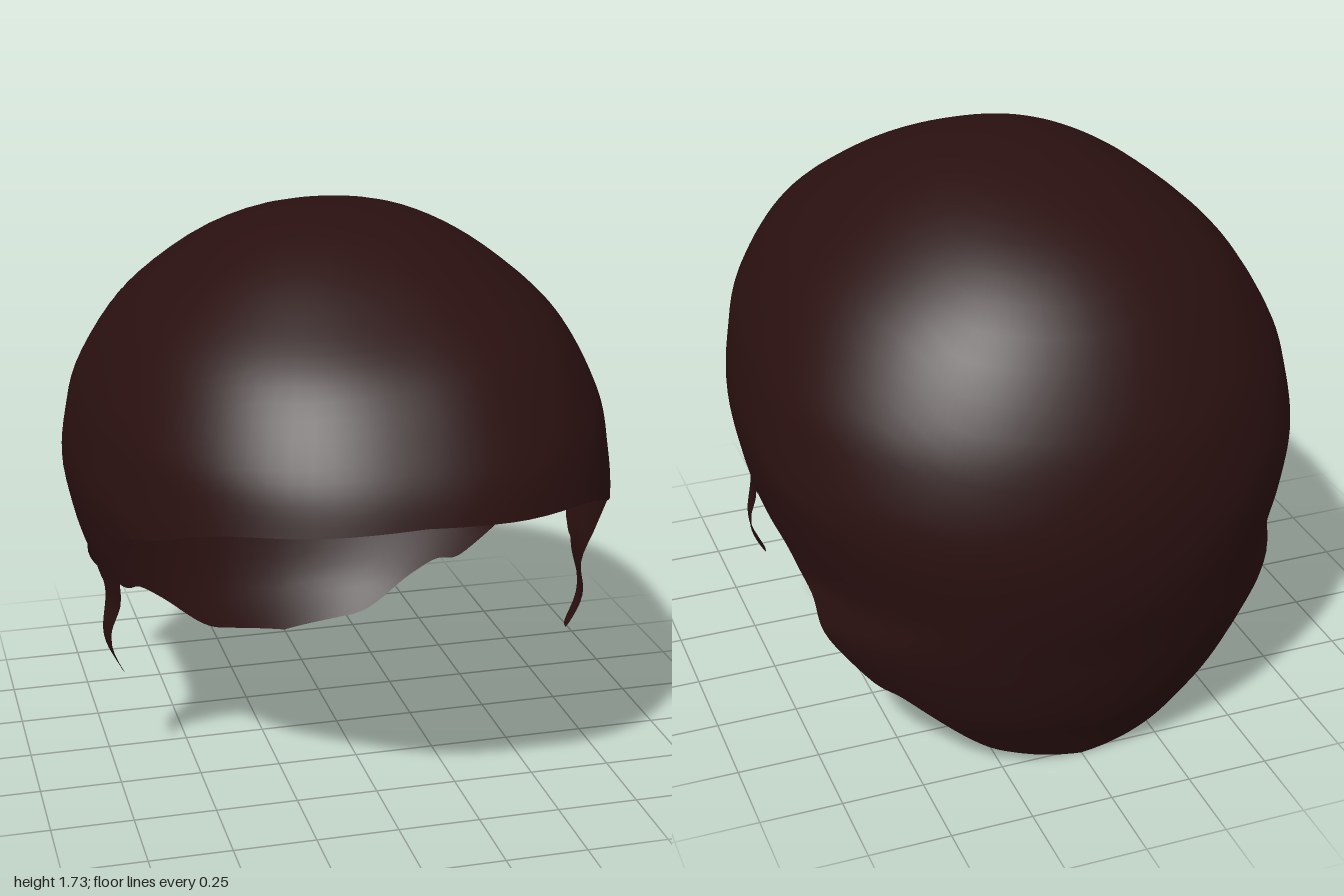
import * as THREE from 'three';

// Level curves of the cap, crown to nape: [y, half width, front z, back z, z of widest point]
const LEVELS = [
  [1.73, 0, 0, 0, 0], [1.71, 0.18, 0.19, -0.2, 0], [1.65, 0.34, 0.37, -0.43, -0.02],
  [1.55, 0.5, 0.57, -0.64, -0.04], [1.4, 0.665, 0.79, -0.805, -0.08], [1.2, 0.78, 0.94, -0.92, -0.14],
  [1.05, 0.815, 1, -0.97, -0.18], [0.9, 0.83, 1.02, -0.995, -0.2], [0.75, 0.805, 1, -0.997, -0.2],
  [0.6, 0.77, 1, -0.975, -0.2], [0.46, 0.79, 1, -0.935, -0.2], [0.34, 0.74, 1, -0.905, -0.2],
  [0.2, 0.66, 1, -0.86, -0.2], [0.1, 0.59, 1, -0.81, -0.2], [0, 0.5, 1, -0.765, -0.2],
];

// Hairline seen from the side: [z, y], from forehead over the sideburn and ear to the nape
const HAIRLINE = [
  [1, 1.05], [0.97, 1.035], [0.8, 1.005], [0.6, 0.93], [0.45, 0.88], [0.37, 0.8], [0.25, 0.59],
  [0.21, 0.48], [0.19, 0.36], [0.17, 0.34], [0.14, 0.36], [0.13, 0.48], [0.09, 0.6], [0.05, 0.62],
  [0, 0.65], [-0.05, 0.67], [-0.28, 0.67], [-0.38, 0.6], [-0.47, 0.54], [-0.53, 0.43], [-0.6, 0.3],
  [-0.66, 0.27], [-0.7, 0.2], [-0.72, 0.08], [-0.75, 0.04], [-0.765, 0.005],
];

// Smooth curve through rows of numbers; `before` is the row ahead of the first
function spline(rows, s, before = rows[0]) {
  const last = rows.length - 1;
  const i = Math.min(Math.floor(s), last - 1), t = s - i;
  const p0 = i > 0 ? rows[i - 1] : before, p1 = rows[i], p2 = rows[i + 1];
  const p3 = rows[Math.min(i + 2, last)];
  return p1.map((b, k) => {
    const m1 = (p2[k] - p0[k]) / 2, m2 = (p3[k] - b) / 2, d = p2[k] - b;
    return b + t * (m1 + t * (3 * d - 2 * m1 - m2 + t * (m1 + m2 - 2 * d)));
  });
}

const [y1, ...rest1] = LEVELS[1];
const level = (s) => spline(LEVELS, s, [y1, ...rest1.map((v) => -v)]);

// Level parameter for a given height
function levelAt(y) {
  let lo = 0, hi = LEVELS.length - 1;
  for (let k = 0; k < 30; k++) {
    const mid = (lo + hi) / 2;
    if (level(mid)[0] > y) lo = mid; else hi = mid;
  }
  return lo;
}

const roundness = (front) => (front ? 2.3 : 2.1);

// Point on the cap for a level and an angle (+90 degrees is the front, -90 the back)
function capPoint(s, angle, side) {
  const [y, w, zf, zb, zc] = level(s);
  const front = angle >= 0, e = 2 / roundness(front);
  const x = w * Math.pow(Math.max(Math.cos(angle), 0), e);
  const reach = Math.pow(Math.abs(Math.sin(angle)), e);
  return [side * x, y, zc + reach * ((front ? zf : zb) - zc)];
}

// Hairline as [angle, y]
function hairlineAngles() {
  const last = HAIRLINE.length - 1;
  return HAIRLINE.map(([z, y], i) => {
    if (i === 0) return [Math.PI / 2, y];
    if (i === last) return [-Math.PI / 2, y];
    const [, , zf, zb, zc] = level(levelAt(y));
    const front = z >= zc;
    const u = Math.min(Math.abs((z - zc) / ((front ? zf : zb) - zc)), 0.995);
    return [(front ? 1 : -1) * Math.asin(Math.pow(u, roundness(front) / 2)), y];
  });
}

function hairGeometry() {
  const ROWS = 32, SUB = 5;
  const rim = hairlineAngles();
  const half = [];
  for (let i = 0; i <= (rim.length - 1) * SUB; i++) {
    const [angle, y] = spline(rim, i / SUB);
    half.push({ angle, end: levelAt(y) });
  }
  // Left half from front to back, then the mirrored half back to the front
  const columns = [
    ...half.map((c) => ({ ...c, side: 1 })),
    ...half.slice(1, -1).reverse().map((c) => ({ ...c, side: -1 })),
  ];
  const positions = [], index = [], stride = ROWS + 1;
  columns.forEach(({ angle, end, side }, i) => {
    const next = (i + 1) % columns.length;
    for (let j = 0; j <= ROWS; j++) {
      positions.push(...capPoint((end * j) / ROWS, angle, side));
      if (j === ROWS) continue;
      const a = i * stride + j, b = next * stride + j;
      if (j > 0) index.push(a, a + 1, b);
      index.push(b, a + 1, b + 1);
    }
  });
  const geometry = new THREE.BufferGeometry();
  geometry.setAttribute('position', new THREE.Float32BufferAttribute(positions, 3));
  geometry.setIndex(index);
  geometry.computeVertexNormals();
  // The crown points straight up
  columns.forEach((c, i) => geometry.attributes.normal.setXYZ(i * stride, 0, 1, 0));
  return geometry;
}

export function createModel() {
  const darkBrown = new THREE.MeshStandardMaterial({ color: 0x2a1010, side: THREE.DoubleSide });
  darkBrown.name = 'darkBrown';

  const group = new THREE.Group();
  group.name = 'hair';
  const cap = new THREE.Mesh(hairGeometry(), darkBrown);
  cap.name = 'hairCap';
  group.add(cap);
  return group;
}
